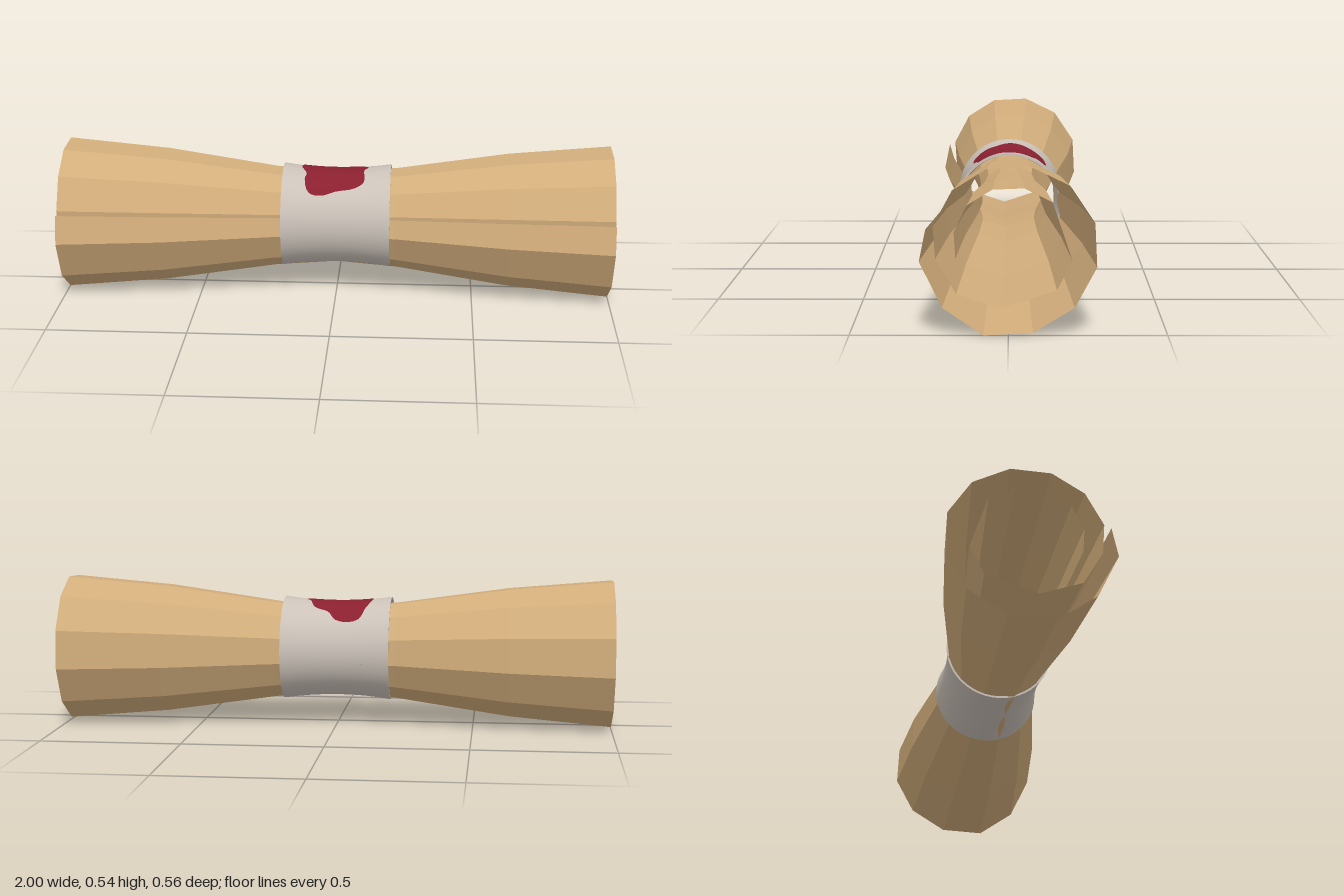
import * as THREE from 'three';

const paper = new THREE.MeshStandardMaterial({ name: 'tan paper', color: 0xd2ad7b, flatShading: true, side: THREE.DoubleSide });
const bandGrey = new THREE.MeshStandardMaterial({ name: 'pale grey band', color: 0xcbc2b9 });
const waxRed = new THREE.MeshStandardMaterial({ name: 'dark red wax', color: 0x8a2030, side: THREE.DoubleSide });

const AXIS_Y = 0.277;
const bandRadius = (x) => 0.174 + 0.4 * x * x;

// Surface through a grid of points: rows[i][j] = [x, y, z]
function gridSurface(rows) {
  const pos = [], idx = [], n = rows[0].length;
  rows.forEach((row) => row.forEach((p) => pos.push(...p)));
  for (let i = 0; i < rows.length - 1; i++) {
    for (let j = 0; j < n - 1; j++) {
      const a = i * n + j, b = a + n;
      idx.push(a, b, a + 1, b, b + 1, a + 1);
    }
  }
  const g = new THREE.BufferGeometry();
  g.setAttribute('position', new THREE.Float32BufferAttribute(pos, 3));
  g.setIndex(idx);
  g.computeVertexNormals();
  return g;
}

// Rolled sheet: a two-turn spiral (z, y), pinched towards the middle
function makeSheet() {
  const spiral = [
    [0.258, 0.34], [0.279, 0.238], [0.208, 0.091], [0.079, 0.002], [-0.078, 0.01], [-0.208, 0.091],
    [-0.277, 0.22], [-0.27, 0.36], [-0.192, 0.477], [-0.068, 0.537], [0.067, 0.53], [0.175, 0.462],
    [0.235, 0.35], [0.228, 0.246], [0.163, 0.135], [0.023, 0.088], [-0.152, 0.147], [-0.2, 0.24],
    [-0.138, 0.425], [-0.05, 0.469], [0.05, 0.465], [0.13, 0.415], [0.17, 0.33], [0.165, 0.248],
  ];
  const stations = [[-1, 1], [-0.63, 0.88], [-0.22, 0.66], [0, 0.6], [0.22, 0.66], [0.63, 0.88], [1, 1]];
  const rows = stations.map(([x, s]) => spiral.map(([z, y]) => [x, 0.272 + (y - 0.272) * s, z * s]));
  const mesh = new THREE.Mesh(gridSurface(rows).toNonIndexed(), paper);
  mesh.geometry.computeVertexNormals();
  mesh.name = 'rolledSheet';
  return mesh;
}

// Flared band, with each wall and rim its own lathe to keep the edges sharp
function makeBand() {
  const group = new THREE.Group();
  group.name = 'band';
  const wall = (offset, dir) => {
    const pts = [];
    for (let i = 0; i <= 8; i++) {
      const x = dir * (-0.197 + 0.394 * i / 8);
      pts.push(new THREE.Vector2(bandRadius(x) + offset, x));
    }
    return pts;
  };
  const outer = wall(0, 1), inner = wall(-0.007, -1);
  const profiles = {
    bandOutside: outer,
    bandInside: inner,
    bandRimLeft: [outer[8], inner[0]],
    bandRimRight: [inner[8], outer[0]],
  };
  for (const [name, pts] of Object.entries(profiles)) {
    const mesh = new THREE.Mesh(new THREE.LatheGeometry(pts, 48), bandGrey);
    mesh.name = name;
    group.add(mesh);
  }
  group.rotation.z = -Math.PI / 2;
  group.position.y = AXIS_Y;
  return group;
}

// Irregular seal: rings from its middle out to the outline, laid on the band
function makeSeal() {
  const outline = [
    [-0.085, -0.13], [0, -0.13], [0.03, -0.1], [0.08, -0.08], [0.1, -0.03], [0.115, -0.01], [0.1, 0.02],
    [0.1, 0.09], [0.07, 0.11], [0, 0.12], [-0.05, 0.133], [-0.1, 0.127], [-0.115, 0.08], [-0.11, 0.05],
    [-0.13, 0], [-0.125, -0.04], [-0.105, -0.09],
  ];
  const edge = new THREE.CatmullRomCurve3(outline.map(([x, z]) => new THREE.Vector3(x, 0, z)), true).getPoints(68);
  const rows = [];
  for (let i = 0; i <= 10; i++) {
    const t = i / 10;
    rows.push(edge.map((p) => {
      const x = -0.01 + (p.x + 0.01) * t, z = p.z * t;
      const r = bandRadius(x) + 0.002;
      return [x, AXIS_Y + Math.sqrt(r * r - z * z), z];
    }).reverse());
  }
  const mesh = new THREE.Mesh(gridSurface(rows), waxRed);
  mesh.name = 'waxSeal';
  return mesh;
}

export function createModel() {
  const model = new THREE.Group();
  model.name = 'scroll';
  model.add(makeSheet(), makeBand(), makeSeal());
  return model;
}
